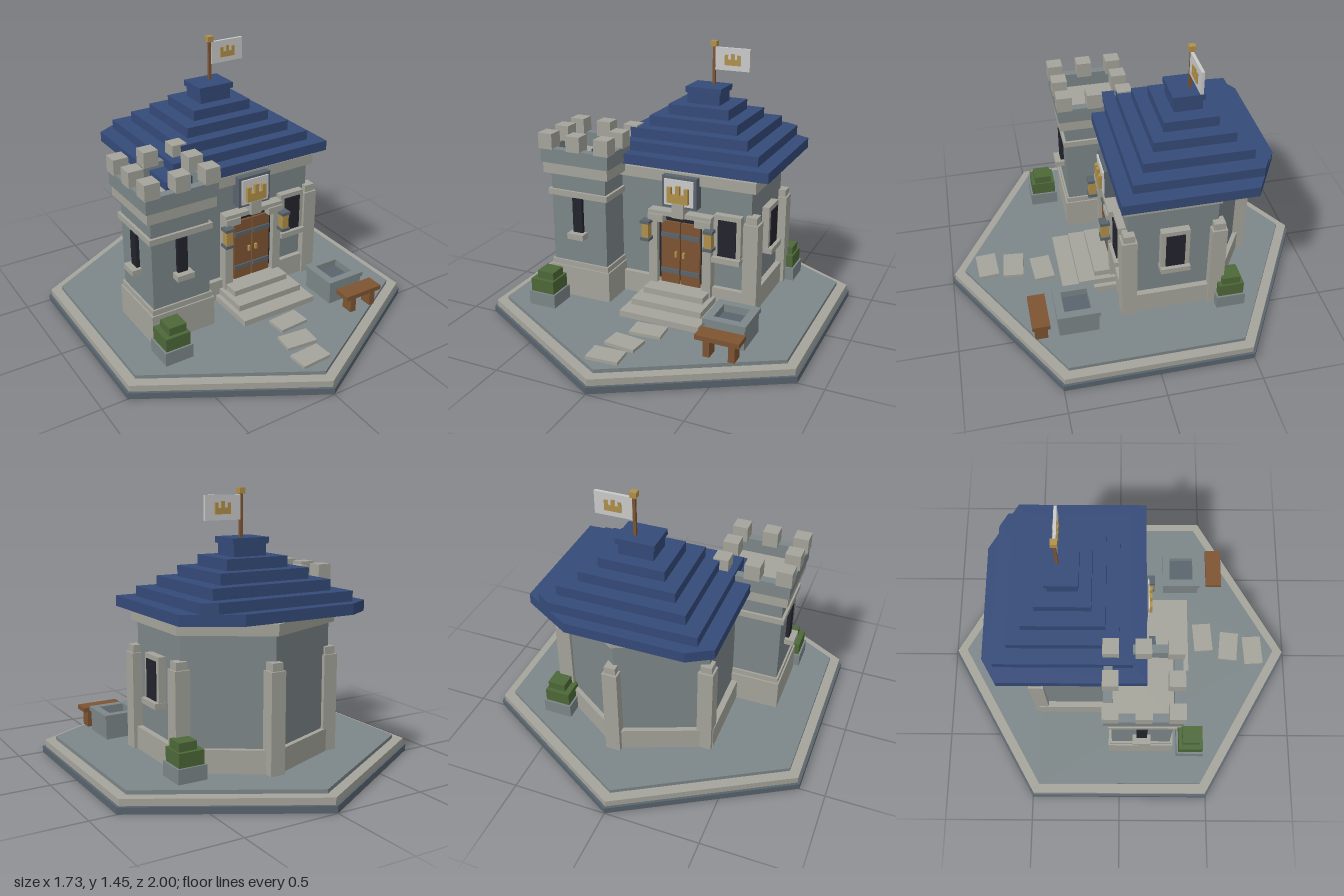
import * as THREE from 'three';

const mat = (name, color) => {
  const m = new THREE.MeshStandardMaterial({ color });
  m.name = name;
  return m;
};

export function createModel() {
  const stone = mat('wall stone', 0x7c8688), trim = mat('pale trim stone', 0xa4a49b);
  const slate = mat('slate', 0x59646d), blue = mat('blue roof', 0x344a78);
  const wood = mat('wood', 0x7d5431), dark = mat('dark opening', 0x23232d);
  const gold = mat('gold', 0xb0904a), white = mat('white cloth', 0xcacaca);
  const green = mat('leaves', 0x4d6838);

  const root = new THREE.Group();
  root.name = 'gatehouse';
  const section = (name, parent = root) => {
    const g = new THREE.Group();
    g.name = name;
    parent.add(g);
    return g;
  };
  const add = (g, name, geo, m) => {
    const mesh = new THREE.Mesh(geo, m);
    mesh.name = name;
    g.add(mesh);
    return mesh;
  };
  // Box given by its limits on each axis
  const box = (g, name, m, x0, x1, y0, y1, z0, z1) => {
    const b = add(g, name, new THREE.BoxGeometry(x1 - x0, y1 - y0, z1 - z0), m);
    b.position.set((x0 + x1) / 2, (y0 + y1) / 2, (z0 + z1) / 2);
    return b;
  };
  // Box given by a centre, square half width and height limits
  const block = (g, name, m, x, z, h, y0, y1) => box(g, name, m, x - h, x + h, y0, y1, z - h, z + h);
  // Upright prism over a plan of [x, z] points
  const prism = (g, name, m, plan, y0, y1) => {
    const shape = new THREE.Shape(plan.map(([x, z]) => new THREE.Vector2(x, -z)));
    const geo = new THREE.ExtrudeGeometry(shape, { depth: y1 - y0, bevelEnabled: false });
    geo.rotateX(-Math.PI / 2).translate(0, y0, 0);
    return add(g, name, geo, m);
  };
  // Square ring of four walls
  const ring = (g, name, m, x, z, h, t, y0, y1) => {
    for (const s of [-1, 1]) {
      const a = s * (h - t / 2);
      box(g, name, m, x - h, x + h, y0, y1, z + a - t / 2, z + a + t / 2);
      box(g, name, m, x + a - t / 2, x + a + t / 2, y0, y1, z - h + t, z + h - t);
    }
  };
  // Three-pointed gold emblem, built about the origin
  const emblem = (g, w, h, d) => {
    const e = section('emblem', g);
    box(e, 'emblemBar', gold, -w / 2, w / 2, -h / 2, 0, -d / 2, d / 2);
    [[-0.4, 0.4], [0, 0.5], [0.4, 0.4]].forEach(([x, top]) =>
      box(e, 'emblemPoint', gold, (x - 0.1) * w, (x + 0.1) * w, 0, top * h, -d / 2, d / 2));
    return e;
  };

  // Hexagonal base
  const base = section('base');
  const hex = r => [0, 1, 2, 3, 4, 5].map(i => [r * Math.sin(i * Math.PI / 3), r * Math.cos(i * Math.PI / 3)]);
  prism(base, 'baseSlab', slate, hex(1), 0, 0.035);
  prism(base, 'baseRim', trim, hex(0.985), 0.035, 0.07);
  prism(base, 'paving', stone, hex(0.925), 0.07, 0.09);
  [[0.08, 0.5, 0.07], [0.025, 0.655, -0.1], [0, 0.8, 0.06]].forEach(([x, z, turn]) => {
    const s = add(base, 'steppingStone', new THREE.BoxGeometry(0.17, 0.018, 0.11), trim);
    s.position.set(x, 0.098, z);
    s.rotation.y = turn;
  });

  // House walls on a five-sided plan
  const house = section('house');
  const plan = [[-0.35, 0.09], [0.47, 0.09], [0.47, -0.38], [0.09, -0.625], [-0.35, -0.45]];
  const grow = d => plan.map(([x, z]) => [0.07 + (x - 0.07) * (1 + d / 0.38), -0.27 + (z + 0.27) * (1 + d / 0.38)]);
  prism(house, 'plinth', trim, grow(0.03), 0.09, 0.21);
  prism(house, 'walls', stone, plan, 0.21, 0.84);
  prism(house, 'cornice', trim, grow(0.025), 0.765, 0.823);
  plan.slice(1).forEach(([x, z]) => {
    block(house, 'pilaster', trim, x + 0.01, z, 0.04, 0.09, 0.6);
    block(house, 'pilasterCap', trim, x + 0.01, z, 0.03, 0.6, 0.64);
  });

  // Framed windows, built facing +z at the wall plane
  const houseWindow = (x, z, turn) => {
    const w = section('houseWindow', house);
    box(w, 'windowFrame', trim, -0.075, 0.075, 0.39, 0.63, -0.01, 0.04);
    box(w, 'windowPane', dark, -0.05, 0.05, 0.405, 0.605, 0.04, 0.046);
    box(w, 'windowSill', trim, -0.078, 0.078, 0.37, 0.4, -0.01, 0.062);
    w.position.set(x, 0, z);
    w.rotation.y = turn;
  };
  houseWindow(0.353, 0.09, 0);
  houseWindow(0.47, -0.15, Math.PI / 2);

  // Stepped roof, its back corners cut along the hexagon
  const roof = section('roof');
  const R = 0.877, k = Math.tan(Math.PI / 6);
  const tier = (x0, x1, z0, z1, y0, y1) => {
    const corner = x => {
      const z = -R + k * Math.abs(x);
      return z > z0 ? [[x, z], [Math.sign(x) * (z0 + R) / k, z0]] : [[x, z0]];
    };
    prism(roof, 'roofTier', blue, [[x0, z1], [x1, z1], ...corner(x1), ...corner(x0).reverse()], y0, y1);
  };
  tier(-0.43, 0.567, -0.7, 0.14, 0.84, 0.895);
  tier(-0.348, 0.487, -0.64, 0.068, 0.895, 0.947);
  tier(-0.264, 0.403, -0.57, 0, 0.947, 1.002);
  tier(-0.185, 0.32, -0.497, -0.07, 1.002, 1.057);
  tier(-0.105, 0.243, -0.427, -0.14, 1.057, 1.113);
  tier(-0.022, 0.163, -0.36, -0.21, 1.113, 1.173);
  tier(-0.032, 0.174, -0.37, -0.2, 1.173, 1.205);

  // Flag
  const flag = section('flag');
  block(flag, 'flagPole', wood, 0.092, -0.308, 0.0075, 1.2, 1.42);
  block(flag, 'finial', gold, 0.092, -0.308, 0.017, 1.415, 1.445);
  box(flag, 'flagCloth', white, 0.1, 0.297, 1.29, 1.412, -0.316, -0.3);
  emblem(flag, 0.088, 0.062, 0.028).position.set(0.2, 1.35, -0.308);

  // Corner tower
  const tower = section('tower'), tx = -0.435, tz = 0.12;
  block(tower, 'towerPlinth', trim, tx, tz, 0.18, 0.09, 0.26);
  block(tower, 'towerPlinthBand', trim, tx, tz, 0.172, 0.26, 0.29);
  block(tower, 'towerWalls', stone, tx, tz, 0.162, 0.29, 0.79);
  block(tower, 'towerBand', trim, tx, tz, 0.177, 0.665, 0.697);
  block(tower, 'towerCornice', trim, tx, tz, 0.192, 0.79, 0.85);
  ring(tower, 'parapet', stone, tx, tz, 0.2, 0.045, 0.85, 0.93);
  for (const i of [-1, 0, 1]) for (const j of [-1, 0, 1]) {
    if (i || j) block(tower, 'merlon', trim, tx + i * 0.165, tz + j * 0.165, 0.041, 0.925, 1.01);
  }
  for (const turn of [0, -Math.PI / 2]) {
    const w = section('towerWindow', tower);
    box(w, 'slitPane', dark, -0.028, 0.028, 0.47, 0.663, 0.16, 0.182);
    box(w, 'slitSill', trim, -0.048, 0.048, 0.44, 0.472, 0.16, 0.215);
    w.position.set(tx, 0, tz);
    w.rotation.y = turn;
  }

  // Doorway, centred on its own x = 0
  const door = section('doorway');
  door.position.x = 0.09;
  box(door, 'doorRecess', dark, -0.135, 0.135, 0.19, 0.59, 0.08, 0.115);
  box(door, 'lintel', trim, -0.18, 0.18, 0.585, 0.61, 0.08, 0.15);
  box(door, 'keystone', trim, -0.032, 0.032, 0.59, 0.67, 0.08, 0.172);
  for (const s of [-1, 1]) {
    block(door, 'jambTop', trim, s * 0.135, 0.115, 0.045, 0.55, 0.59);
    box(door, 'jamb', trim, s * 0.155 - 0.025, s * 0.155 + 0.025, 0.09, 0.59, 0.08, 0.145);
    box(door, 'doorLeaf', wood, s * 0.058 - 0.054, s * 0.058 + 0.054, 0.195, 0.55, 0.11, 0.13);
    for (const y of [0.255, 0.46]) {
      box(door, 'doorStrap', slate, s * 0.058 - 0.053, s * 0.058 + 0.053, y, y + 0.025, 0.13, 0.137);
    }
    box(door, 'doorHandle', gold, s * 0.022 - 0.006, s * 0.022 + 0.006, 0.355, 0.385, 0.13, 0.145);
    // Lanterns
    const l = section('lantern', door);
    block(l, 'lanternGlass', gold, s * 0.18, 0.172, 0.02, 0.46, 0.54);
    block(l, 'lanternTop', slate, s * 0.18, 0.172, 0.026, 0.54, 0.557);
    block(l, 'lanternBase', slate, s * 0.18, 0.172, 0.026, 0.443, 0.46);
  }
  box(door, 'signFrame', slate, -0.098, 0.098, 0.64, 0.812, 0.08, 0.15);
  box(door, 'signPanel', white, -0.083, 0.083, 0.655, 0.797, 0.15, 0.158);
  emblem(door, 0.118, 0.094, 0.02).position.set(0, 0.72, 0.165);
  [[0.172, 0.19, 0.23], [0.2, 0.157, 0.32], [0.225, 0.123, 0.41]].forEach(([w, y, z]) =>
    box(door, 'step', trim, -w, w, 0.09, y, 0.1, z));

  // Planters with clipped bushes
  for (const [x, z] of [[-0.565, 0.405], [0.49, -0.455]]) {
    const p = section('planter');
    block(p, 'planterBox', stone, x, z, 0.078, 0.09, 0.165);
    block(p, 'bushLower', green, x, z, 0.068, 0.165, 0.237);
    block(p, 'bushUpper', green, x + 0.01, z, 0.048, 0.237, 0.28);
  }

  // Water trough
  const trough = section('trough');
  ring(trough, 'troughWall', stone, 0.48, 0.37, 0.105, 0.035, 0.09, 0.2);
  ring(trough, 'troughRim', stone, 0.48, 0.37, 0.113, 0.043, 0.2, 0.225);
  block(trough, 'troughWater', slate, 0.48, 0.37, 0.072, 0.09, 0.185);

  // Bench
  const bench = section('bench');
  box(bench, 'benchSeat', wood, 0.38, 0.61, 0.18, 0.205, 0.522, 0.615);
  for (const x of [0.42, 0.55]) box(bench, 'benchLeg', wood, x, x + 0.034, 0.09, 0.18, 0.535, 0.602);

  return root;
}
